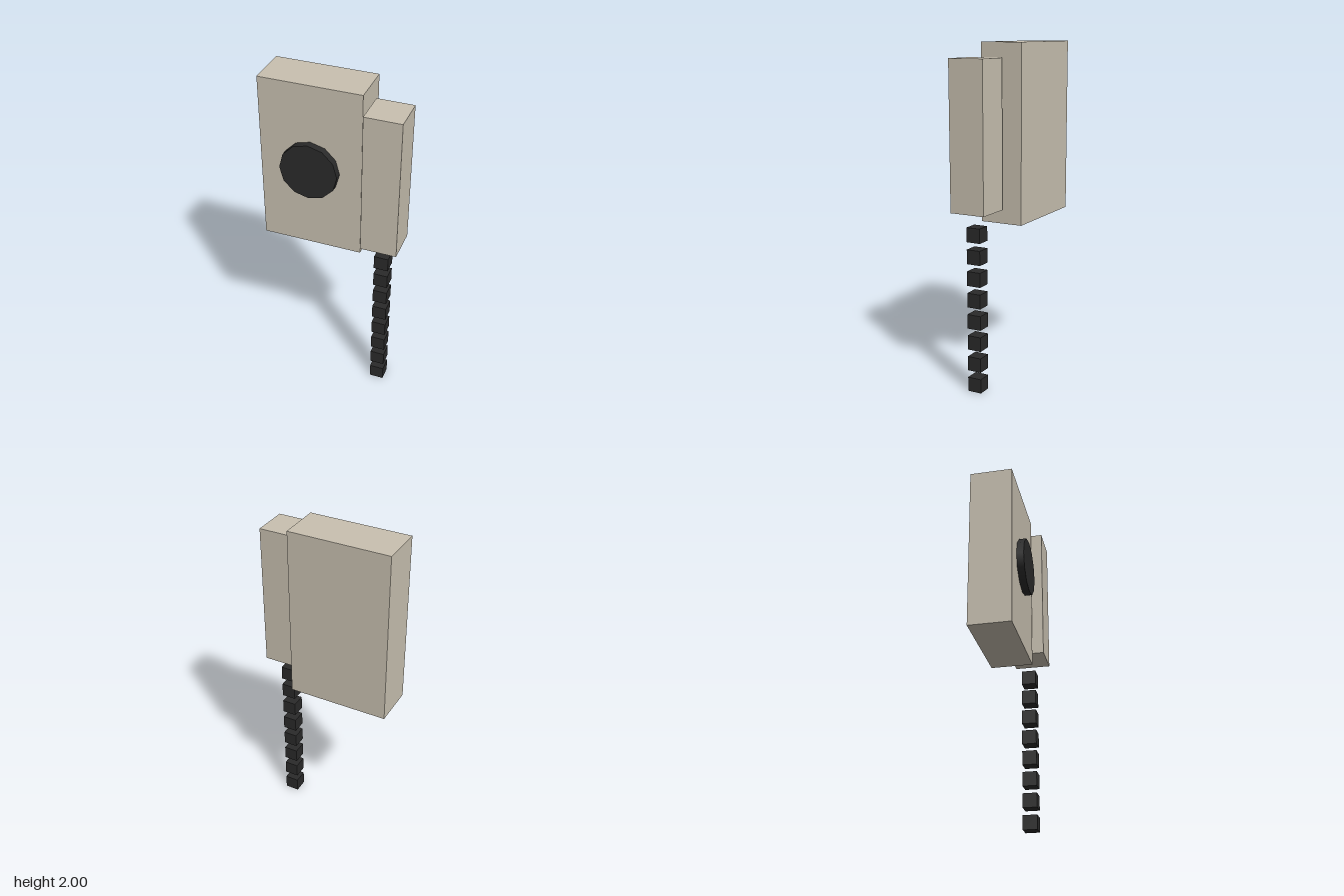
import * as THREE from 'three';

const beige = new THREE.MeshStandardMaterial({ color: 0xc8c0b0 });
const black = new THREE.MeshStandardMaterial({ color: 0x2a2a2a });

// Adds a box with its centre at (x, y, z)
function addBox(parent, name, material, [w, h, d], [x, y, z]) {
  const mesh = new THREE.Mesh(new THREE.BoxGeometry(w, h, d), material);
  mesh.name = name;
  mesh.position.set(x, y, z);
  parent.add(mesh);
}

export function createModel() {
  const model = new THREE.Group();
  model.name = 'wallPhone';

  // Main housing and the handset hanging at its side
  addBox(model, 'body', beige, [0.594, 1.016, 0.254], [-0.118, 1.492, -0.033]);
  addBox(model, 'handset', beige, [0.212, 0.847, 0.212], [0.308, 1.492, 0.053]);

  // Twelve-sided dial on the front of the housing
  const dial = new THREE.Mesh(new THREE.CylinderGeometry(0.17, 0.17, 0.044, 12), black);
  dial.name = 'dial';
  dial.rotation.x = Math.PI / 2;
  dial.position.set(-0.118, 1.492, 0.115);
  model.add(dial);

  // Cord: a column of separate cubes below the handset
  const cord = new THREE.Group();
  cord.name = 'cord';
  const size = 0.085;
  for (let i = 0; i < 8; i++) {
    addBox(cord, 'cordSegment', black, [size, size, size], [0.308, size / 2 + i * 0.128, 0.053]);
  }
  model.add(cord);

  return model;
}
